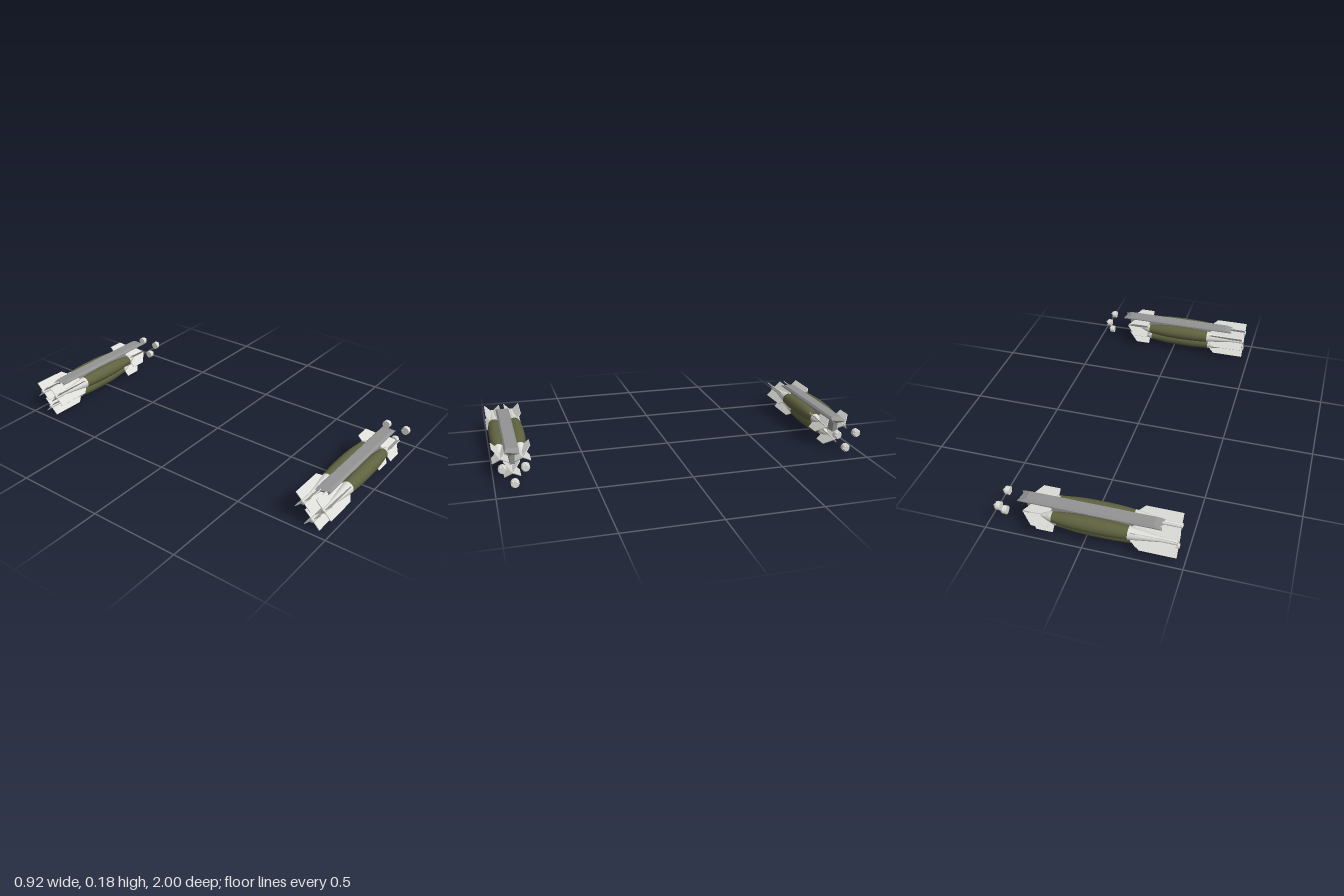
import * as THREE from 'three';

const mat = (name, color, side = THREE.FrontSide) => {
  const m = new THREE.MeshStandardMaterial({ color, side });
  m.name = name;
  return m;
};
const white = mat('pale grey', 0xdcdcd8);
const shell = mat('pale grey shell', 0xdcdcd8, THREE.DoubleSide);
const green = mat('olive green', 0x5f6340);
const grey = mat('rack grey', 0x949494);

function add(parent, name, geometry, material) {
  const mesh = new THREE.Mesh(geometry, material);
  mesh.name = name;
  parent.add(mesh);
  return mesh;
}

// Body of revolution along x, from [x, radius] pairs in order of rising x
function turned(points, smooth = true) {
  const pts = points.map(([x, r]) => new THREE.Vector2(r, x));
  const profile = smooth ? new THREE.SplineCurve(pts).getPoints(16) : pts;
  return new THREE.LatheGeometry(profile, 24).rotateZ(-Math.PI / 2);
}

// Flat plate in the x-y plane, centred on z = 0
function plate(points, depth) {
  const shape = new THREE.Shape(points.map(([x, y]) => new THREE.Vector2(x, y)));
  return new THREE.ExtrudeGeometry(shape, { depth, bevelEnabled: false })
    .translate(0, 0, -depth / 2);
}

const tailFin = plate([[-0.455, 0.006], [-0.24, 0.006], [-0.235, 0.03], [-0.268, 0.06], [-0.455, 0.06]], 0.004);
const noseFin = plate([[0.168, 0], [0.31, 0], [0.253, 0.06], [0.168, 0.06]], 0.004);

function makeBomb() {
  const bomb = new THREE.Group();
  bomb.name = 'bomb';
  add(bomb, 'body', turned([[-0.225, 0.0335], [-0.14, 0.0385], [-0.05, 0.04], [0.05, 0.0375], [0.155, 0.027]]), green);
  add(bomb, 'noseCone', turned([[0.155, 0.027], [0.172, 0.024], [0.225, 0.002], [0.226, 0]], false), white);
  add(bomb, 'tailCone', turned([[-0.46, 0], [-0.46, 0.0125], [-0.385, 0.0125], [-0.31, 0.0225], [-0.225, 0.0335]], false), white);
  // Crossed fins on the diagonals
  for (let i = 0; i < 4; i++) {
    const angle = Math.PI / 4 + i * Math.PI / 2;
    add(bomb, 'tailFin', tailFin, white).rotation.x = angle;
    add(bomb, 'noseFin', noseFin, white).rotation.x = angle;
  }
  return bomb;
}

// Loose nose cap: a short drum with four pointed petals
function makeCap() {
  const cap = new THREE.Group();
  cap.name = 'noseCap';
  add(cap, 'drum', new THREE.CylinderGeometry(0.022, 0.022, 0.022, 16).rotateZ(-Math.PI / 2).translate(0.432, 0, 0), white);
  const at = (x, r, a) => [x, r * Math.cos(a), r * Math.sin(a)];
  const corners = [];
  for (let i = 0; i < 8; i++) {
    const a = i * Math.PI / 4;
    const tip = (i + 1 - (i % 2)) * Math.PI / 4;
    corners.push(...at(0.443, 0.022, a), ...at(0.443, 0.022, a + Math.PI / 4), ...at(0.457, 0.0145, tip));
  }
  const petals = new THREE.BufferGeometry();
  petals.setAttribute('position', new THREE.Float32BufferAttribute(corners, 3));
  petals.computeVertexNormals();
  add(cap, 'petals', petals, shell);
  return cap;
}

// Long carrier beam with bevelled sides and sloping ends
function makeBeam() {
  const section = [[-0.014, 0.15], [0.014, 0.15], [0.037, 0.162], [0.037, 0.168], [0.028, 0.179], [-0.028, 0.179], [-0.037, 0.168], [-0.037, 0.162]];
  const shape = new THREE.Shape(section.map(([z, y]) => new THREE.Vector2(z, y)));
  const geo = new THREE.ExtrudeGeometry(shape, { depth: 1, bevelEnabled: false }).rotateY(Math.PI / 2);
  const p = geo.attributes.position;
  for (let i = 0; i < p.count; i++) {
    const y = p.getY(i);
    const high = Math.max(0, y - 0.162) / 0.017;
    const low = Math.max(0, 0.162 - y) / 0.012;
    p.setX(i, p.getX(i) > 0.5 ? 0.344 - 0.044 * high - 0.02 * low : -0.38 + 0.043 * high + 0.02 * low);
  }
  geo.computeVertexNormals();
  return geo;
}

function makeRack() {
  const rack = new THREE.Group();
  rack.name = 'bombRack';
  add(rack, 'carrierBeam', makeBeam(), grey);
  add(rack, 'keel', plate([[-0.34, 0.152], [-0.3, 0.088], [0.293, 0.088], [0.305, 0.152]], 0.026), grey);
  for (const [y, z] of [[0.044, 0], [0.125, 0.056], [0.125, -0.056]]) {
    const bomb = makeBomb();
    bomb.position.set(0, y, z);
    const cap = makeCap();
    cap.position.set(0, y, z);
    rack.add(bomb, cap);
  }
  return rack;
}

export function createModel() {
  const model = new THREE.Group();
  model.name = 'bombRacks';
  for (const z of [-0.9, 0.9]) {
    const rack = makeRack();
    rack.position.z = z;
    model.add(rack);
  }
  return model;
}
